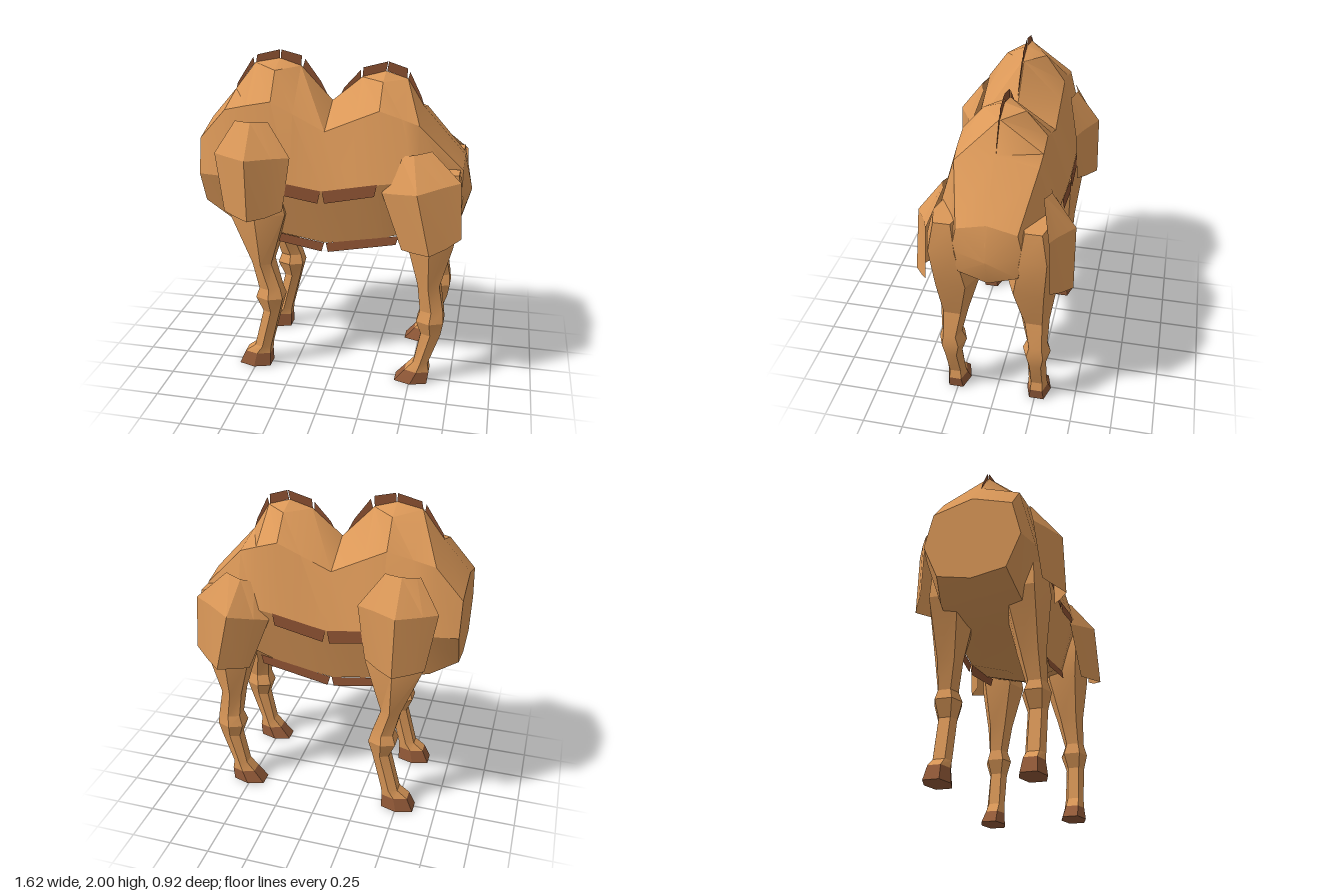
import * as THREE from 'three';
import { toCreasedNormals } from 'three/addons/utils/BufferGeometryUtils.js';

const mat = (name, color) => new THREE.MeshStandardMaterial({ name, color, side: THREE.DoubleSide });

// Skin a list of point rings; optional end caps
function loft(rings, { closed = true, caps = true, crease = 0.45 } = {}) {
  const pos = [];
  const tri = (...p) => p.forEach((v) => pos.push(...v));
  const n = rings[0].length;
  for (let i = 0; i < rings.length - 1; i++) {
    for (let j = 0; j < (closed ? n : n - 1); j++) {
      const k = (j + 1) % n;
      const a = rings[i][j], b = rings[i][k], c = rings[i + 1][k], d = rings[i + 1][j];
      tri(a, b, c);
      tri(a, c, d);
    }
  }
  if (caps) {
    const first = rings[0], last = rings[rings.length - 1];
    for (let j = 1; j < n - 1; j++) {
      tri(first[0], first[j + 1], first[j]);
      tri(last[0], last[j], last[j + 1]);
    }
  }
  const g = new THREE.BufferGeometry();
  g.setAttribute('position', new THREE.Float32BufferAttribute(pos, 3));
  return toCreasedNormals(g, crease);
}

// Leg sections: y, x min, x max, inner z, outer z (hoof first, then upwards)
const REAR_LEG = [
  [0, -0.61, -0.405, 0.185, 0.34], [0.09, -0.57, -0.405, 0.2, 0.325],
  [0.14, -0.505, -0.4, 0.205, 0.32], [0.4, -0.44, -0.335, 0.205, 0.32],
  [0.5, -0.48, -0.31, 0.175, 0.345], [0.56, -0.46, -0.325, 0.2, 0.325],
  [0.73, -0.5, -0.38, 0.16, 0.33], [1.07, -0.63, -0.28, 0.08, 0.37],
  [1.42, -0.6, -0.34, 0.16, 0.33],
];
const FRONT_LEG = [
  [0, 0.405, 0.61, 0.185, 0.34], [0.08, 0.47, 0.62, 0.2, 0.325],
  [0.14, 0.52, 0.61, 0.205, 0.32], [0.35, 0.56, 0.68, 0.205, 0.32],
  [0.44, 0.53, 0.695, 0.175, 0.345], [0.51, 0.55, 0.69, 0.2, 0.325],
  [0.68, 0.53, 0.66, 0.16, 0.33], [0.95, 0.46, 0.73, 0.08, 0.37],
  [1.21, 0.46, 0.765, 0.13, 0.38], [1.39, 0.5, 0.74, 0.17, 0.33],
];

// Six-sided ring: flat fore and aft, ridged on the inside and outside
function legRing([y, x0, x1, zi, zo], s) {
  const c = (s * (zi + zo)) / 2, b = (zo - zi) / 2, a = b * 0.6, m = (x0 + x1) / 2;
  return [[x1, y, c + a], [x1, y, c - a], [m, y, c - b], [x0, y, c - a], [x0, y, c + a], [m, y, c + b]];
}

export function createModel() {
  const model = new THREE.Group();
  const coat = mat('tan coat', 0xdb9858);
  const hoofMat = mat('hoof brown', 0x945b39);
  const tuft = mat('dark fur', 0x8a5031);
  const add = (name, geo, m, parent = model) => {
    const mesh = new THREE.Mesh(geo, m);
    mesh.name = name;
    parent.add(mesh);
    return mesh;
  };

  // Body: x, ridge y, hump half width, hump side y, then (y, z) of crease, flank, lower edge, and belly y
  const stations = [
    [-0.81, 1.57, 0.005, 1.57, 1.5, 0.235, 1.29, 0.285, 1.09, 0.2, 1.05],
    [-0.65, 1.755, 0.005, 1.755, 1.68, 0.235, 1.3, 0.33, 1.0, 0.23, 0.96],
    [-0.52, 1.92, 0.005, 1.92, 1.71, 0.235, 1.3, 0.335, 0.97, 0.24, 0.92],
    [-0.37, 1.95, 0.12, 1.9, 1.74, 0.235, 1.29, 0.335, 0.93, 0.24, 0.88],
    [-0.24, 1.91, 0.005, 1.91, 1.675, 0.235, 1.27, 0.335, 0.91, 0.24, 0.85],
    [-0.05, 1.71, 0.005, 1.71, 1.58, 0.235, 1.25, 0.335, 0.88, 0.24, 0.81],
    [0.13, 1.86, 0.005, 1.86, 1.66, 0.24, 1.28, 0.335, 0.91, 0.24, 0.845],
    [0.27, 1.9, 0.12, 1.86, 1.72, 0.24, 1.31, 0.335, 0.93, 0.24, 0.87],
    [0.4, 1.86, 0.005, 1.86, 1.68, 0.24, 1.33, 0.335, 0.97, 0.23, 0.92],
    [0.5, 1.7, 0.005, 1.7, 1.645, 0.235, 1.33, 0.33, 1.0, 0.22, 0.95],
    [0.755, 1.42, 0.005, 1.42, 1.38, 0.17, 1.23, 0.2, 1.09, 0.17, 1.03],
    [0.805, 1.215, 0.001, 1.215, 1.213, 0.002, 1.21, 0.003, 1.207, 0.002, 1.205],
  ];
  const bodyRings = stations.map(([x, top, hz, hy, cy, cz, fy, fz, ly, lz, bot]) => {
    const half = [[hy, hz], [cy, cz], [fy, fz], [ly, lz]];
    return [
      [x, top, 0],
      ...half.map(([y, z]) => [x, y, z]),
      [x, bot, 0],
      ...half.slice().reverse().map(([y, z]) => [x, y, -z]),
    ];
  });
  add('body', loft(bodyRings), coat);

  // Legs and hooves
  for (const [name, rows] of [['rearLeg', REAR_LEG], ['frontLeg', FRONT_LEG]]) {
    for (const s of [1, -1]) {
      const leg = new THREE.Group();
      leg.name = name;
      model.add(leg);
      const rings = rows.map((r) => legRing(r, s));
      add('hoof', loft(rings.slice(0, 2), { crease: 0.3 }), hoofMat, leg);
      add('shank', loft(rings.slice(1), { crease: 0.3 }), coat, leg);
    }
  }

  // Shaggy fur panels over the shoulders and haunches, as open ridged shells
  const panelRows = (s) => [
    [[-0.1, 0.28, 0.275], [-0.08, 0.28, 0.285], [0, 0.28, 0.305], [0.08, 0.28, 0.285], [0.1, 0.28, 0.275]],
    [[-0.22, 0.09, 0.325], [-0.14, 0.09, 0.375], [0, 0.09, 0.45], [0.14, 0.09, 0.375], [0.24, 0.09, 0.335]],
    [[-0.165, -0.26, 0.36], [-0.1, -0.27, 0.4], [0.005, -0.28, 0.46], [0.1, -0.27, 0.4], [0.19, -0.24, 0.35]],
  ].map((row) => {
    const r = row.map(([x, y, z]) => [x, y, s * z]);
    return s > 0 ? r.reverse() : r;
  });
  for (const [name, x, y, tilt] of [['haunchFur', -0.475, 1.35, 0], ['shoulderFur', 0.54, 1.22, 0.21]]) {
    for (const s of [1, -1]) {
      const rows = panelRows(s).reverse();
      const panel = add(name, loft(rows, { closed: false, caps: false, crease: 0.2 }), coat);
      panel.position.set(x, y, 0);
      panel.rotation.z = tilt;
    }
  }

  // Thin fur strips: each is a quad between a root edge and a tip edge
  const strip = (name, a, b, c, d) => add(name, loft([[a, b], [d, c]], { closed: false, caps: false }), tuft);

  // Crests along the hump ridges
  const crests = [
    [[-0.65, 1.755], [-0.53, 1.91], [-0.535, 1.95], [-0.64, 1.79]],
    [[-0.52, 1.915], [-0.37, 1.945], [-0.37, 2.0], [-0.51, 1.965]],
    [[-0.365, 1.945], [-0.24, 1.91], [-0.235, 1.97], [-0.36, 2.0]],
    [[-0.23, 1.9], [-0.08, 1.74], [-0.12, 1.82], [-0.215, 1.95]],
    [[0.0, 1.75], [0.12, 1.85], [0.12, 1.9], [0.02, 1.79]],
    [[0.13, 1.86], [0.27, 1.9], [0.28, 1.955], [0.135, 1.915]],
    [[0.275, 1.9], [0.395, 1.86], [0.395, 1.92], [0.285, 1.955]],
    [[0.4, 1.86], [0.5, 1.7], [0.48, 1.76], [0.41, 1.9]],
  ];
  crests.forEach((q) => strip('humpCrest', ...q.map(([x, y]) => [x, y, 0])));

  // Fringes along the flanks and the belly edge
  const fringes = [
    [-0.4, 1.3, -0.055, 1.25, 0.075, 0.337],
    [-0.045, 1.25, 0.28, 1.315, 0.072, 0.337],
    [-0.38, 0.93, -0.055, 0.88, 0.055, 0.242],
    [-0.045, 0.88, 0.4, 0.965, 0.055, 0.242],
  ];
  for (const [x0, y0, x1, y1, drop, z] of fringes) {
    for (const s of [1, -1]) {
      const w = s * z, t = s * (z + 0.008);
      strip('sideFringe', [x0, y0, w], [x1, y1, w], [x1 - 0.015, y1 - drop, t], [x0 + 0.015, y0 - drop, t]);
    }
  }

  return model;
}
